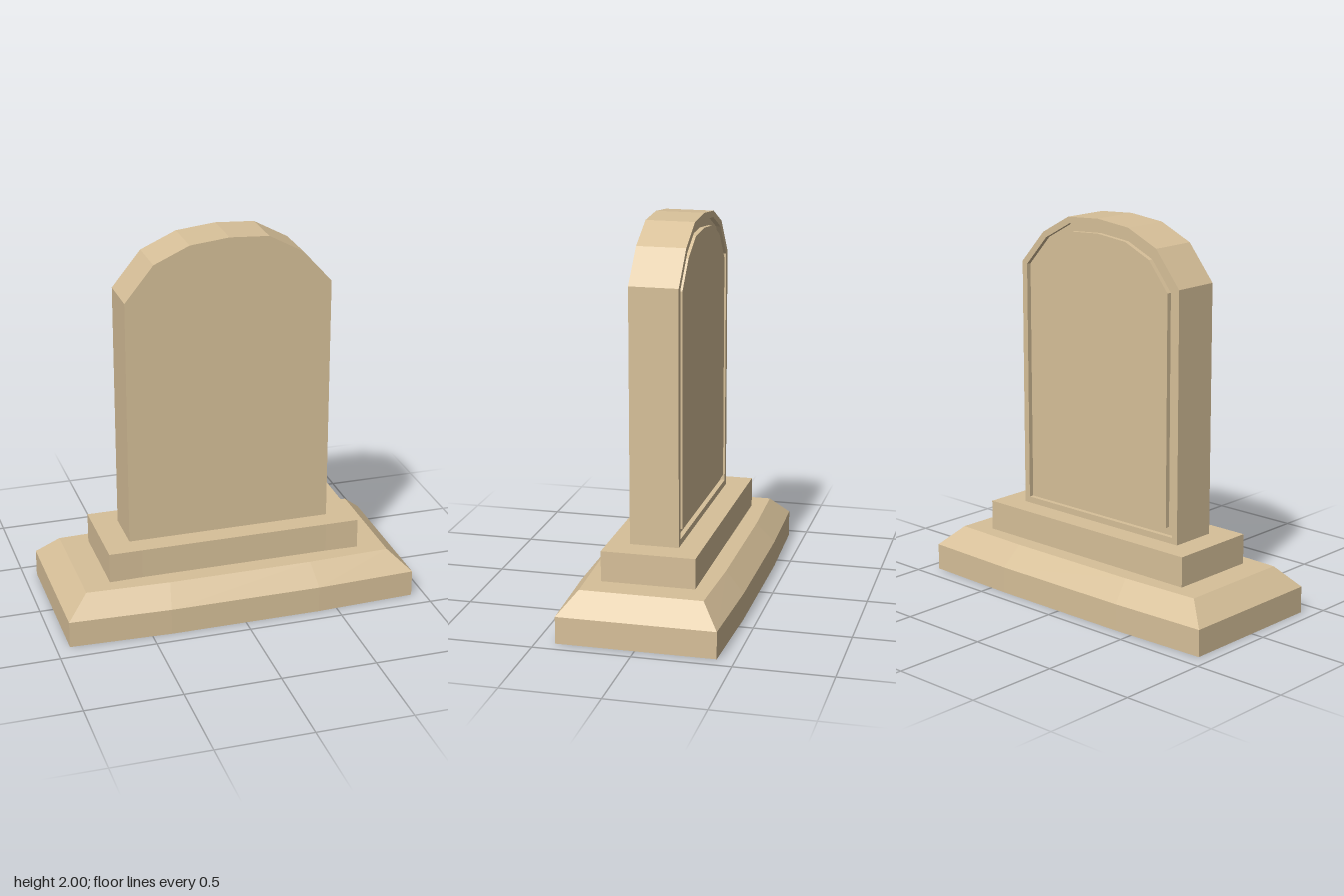
import * as THREE from 'three';

const stone = new THREE.MeshStandardMaterial({ color: 0xd7c099, flatShading: true });

// Skins a stack of equal-length convex loops and caps both ends.
// Loops run counter-clockwise when looked at from the end of the stack.
function loft(name, loops) {
  const pos = [];
  const tri = (...pts) => pts.forEach((p) => pos.push(...p));
  const n = loops[0].length;
  for (let k = 0; k < loops.length - 1; k++) {
    const a = loops[k], b = loops[k + 1];
    for (let i = 0; i < n; i++) {
      const j = (i + 1) % n;
      tri(a[i], a[j], b[j]);
      tri(a[i], b[j], b[i]);
    }
  }
  const first = loops[0], last = loops[loops.length - 1];
  for (let i = 1; i < n - 1; i++) {
    tri(first[0], first[i + 1], first[i]);
    tri(last[0], last[i], last[i + 1]);
  }
  const geometry = new THREE.BufferGeometry();
  geometry.setAttribute('position', new THREE.Float32BufferAttribute(pos, 3));
  geometry.computeVertexNormals();
  const mesh = new THREE.Mesh(geometry, stone);
  mesh.name = name;
  return mesh;
}

// Rectangular plan whose long sides bow outwards between x = -bowX and bowX.
function bowedPlan(y, x, bowX, front, frontBow, back, backBow) {
  return [
    [x, y, front], [x, y, back], [bowX, y, backBow], [-bowX, y, backBow],
    [-x, y, back], [-x, y, front], [-bowX, y, frontBow], [bowX, y, frontBow],
  ];
}

// Moves every edge of a clockwise outline inwards by d, with mitred corners.
function inset(points, d) {
  const n = points.length;
  const normal = (p, q) => new THREE.Vector2(q.y - p.y, p.x - q.x).normalize();
  return points.map((p, i) => {
    const n1 = normal(points[(i + n - 1) % n], p);
    const n2 = normal(p, points[(i + 1) % n]);
    const miter = n1.clone().add(n2);
    return p.clone().addScaledVector(miter, d / (1 + n1.dot(n2)));
  });
}

export function createModel() {
  const group = new THREE.Group();
  group.name = 'headstone';

  // Plinth with a chamfered upper edge
  group.add(loft('plinth', [
    bowedPlan(0, 0.93, 0.4, 0.402, 0.425, -0.41, -0.428),
    bowedPlan(0.14, 0.93, 0.4, 0.402, 0.425, -0.41, -0.428),
    bowedPlan(0.247, 0.817, 0.38, 0.312, 0.33, -0.318, -0.333),
  ]));

  // Upper step
  group.add(loft('step', [
    bowedPlan(0.247, 0.675, 0.5, 0.24, 0.235, -0.243, -0.243),
    bowedPlan(0.405, 0.675, 0.5, 0.24, 0.235, -0.243, -0.243),
  ]));

  // Slightly irregular arched slab, plain at the front
  const outline = [
    [-0.54, 0.405], [-0.54, 1.71], [-0.39, 1.895], [-0.205, 1.978], [0, 2],
    [0.205, 1.988], [0.385, 1.89], [0.538, 1.72], [0.538, 0.405],
  ].map(([x, y]) => new THREE.Vector2(x, y));

  // A groove in the back face frames a flush panel: [inset, z]
  const section = [
    [0, 0.127], [0, -0.125], [0.033, -0.125], [0.033, -0.1],
    [0.075, -0.1], [0.075, -0.125],
  ];
  group.add(loft('slab', section.map(([d, z]) => inset(outline, d).map((p) => [p.x, p.y, z]))));

  return group;
}
